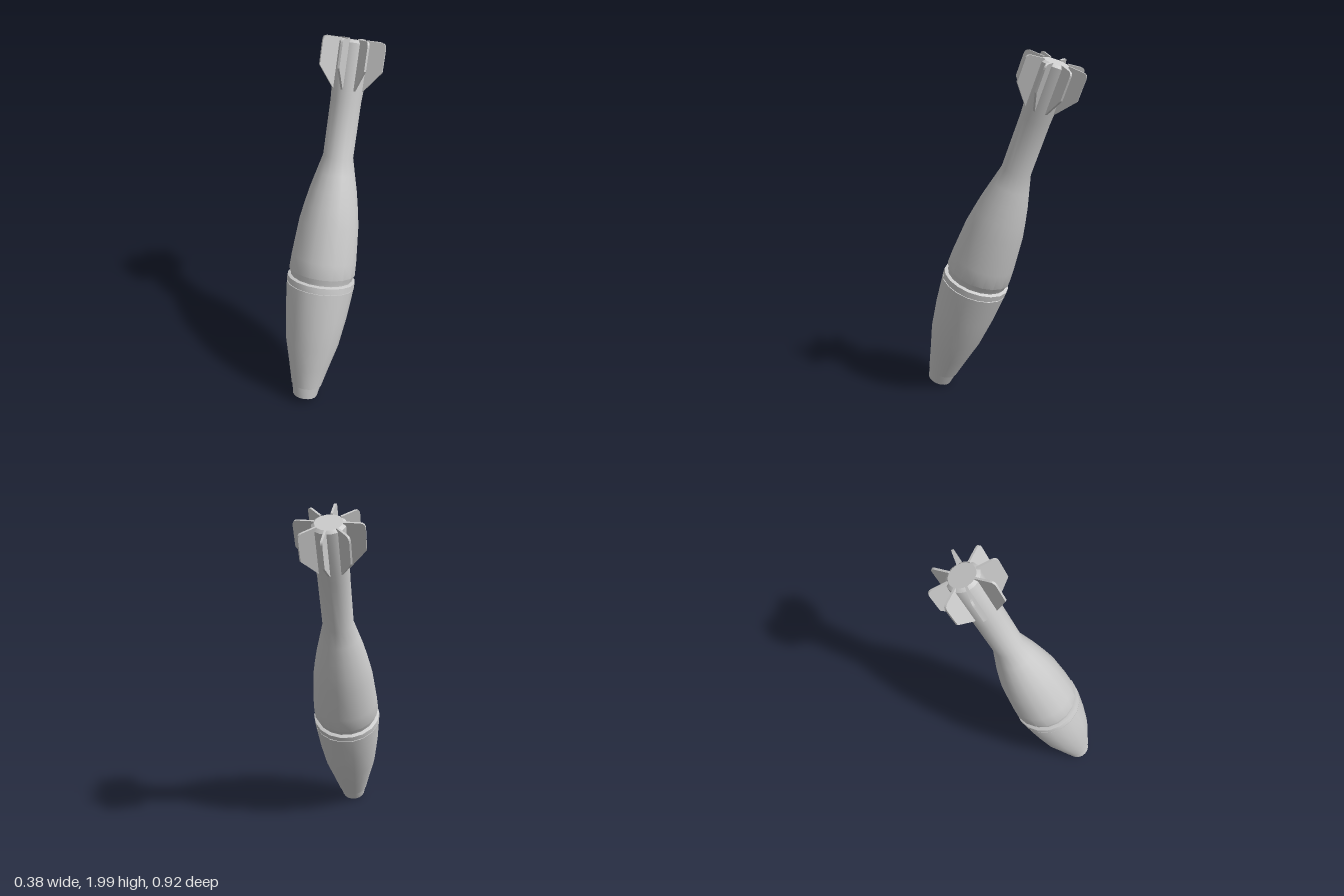
import * as THREE from 'three';
import { toCreasedNormals } from 'three/addons/utils/BufferGeometryUtils.js';

const SEGMENTS = 18;
const material = new THREE.MeshStandardMaterial({ color: 0xcccccc });

// Solid of revolution from [radius, height] pairs running upwards
function turned(name, profile) {
  const points = profile.map(([r, y]) => new THREE.Vector2(r, y));
  const geometry = toCreasedNormals(new THREE.LatheGeometry(points, SEGMENTS), Math.PI / 6);
  const mesh = new THREE.Mesh(geometry, material);
  mesh.name = name;
  return mesh;
}

export function createModel() {
  const model = new THREE.Group();
  model.name = 'finnedShell';

  // Blunt nose plug
  model.add(turned('nosePlug', [[0, 0], [0.07, 0], [0.083, 0.07], [0, 0.07]]));

  // Swelling front half of the body, ending under the band
  model.add(turned('frontBody', [
    [0, 0.07], [0.087, 0.07], [0.117, 0.2], [0.152, 0.344], [0.175, 0.517],
    [0.19, 0.692], [0, 0.692],
  ]));

  // Raised band with a fine groove beneath it
  model.add(turned('band', [
    [0, 0.69], [0.184, 0.69], [0.184, 0.698], [0.191, 0.698], [0.191, 0.73],
    [0.172, 0.737], [0, 0.737],
  ]));

  // Rear half of the body, narrowing into the tail tube
  model.add(turned('rearBodyAndTail', [
    [0.172, 0.73], [0.174, 0.748], [0.186, 0.775], [0.182, 0.86], [0.165, 1.057],
    [0.148, 1.15], [0.13, 1.237], [0.106, 1.33], [0.082, 1.423], [0.082, 1.72],
    [0.085, 1.78], [0.085, 2.02],
  ]));

  // Tail cap with a bevelled rim
  model.add(turned('tailCap', [[0.085, 2.02], [0.069, 2.032], [0, 2.032]]));

  // Eight radial fins with a swept lower edge and rounded outer corner
  const outline = new THREE.Shape();
  outline.moveTo(0.07, 1.765);
  outline.lineTo(0.09, 1.785);
  outline.lineTo(0.175, 1.89);
  outline.lineTo(0.175, 2.008);
  outline.quadraticCurveTo(0.175, 2.037, 0.15, 2.037);
  outline.lineTo(0.07, 2.037);
  outline.closePath();
  const thickness = 0.011;
  const finGeometry = new THREE.ExtrudeGeometry(outline, {
    depth: thickness, bevelEnabled: false, curveSegments: 4,
  });
  finGeometry.translate(0, 0, -thickness / 2);

  const fins = new THREE.Group();
  fins.name = 'tailFins';
  for (let i = 0; i < 8; i++) {
    const fin = new THREE.Mesh(finGeometry, material);
    fin.name = 'fin' + (i + 1);
    fin.rotation.y = (i * Math.PI) / 4;
    fins.add(fin);
  }
  model.add(fins);

  // Lean backwards, resting on the edge of the nose
  model.rotation.x = -Math.PI / 9;
  model.position.set(0, 0.025, 0.395);

  const root = new THREE.Group();
  root.name = 'model';
  root.add(model);
  return root;
}
